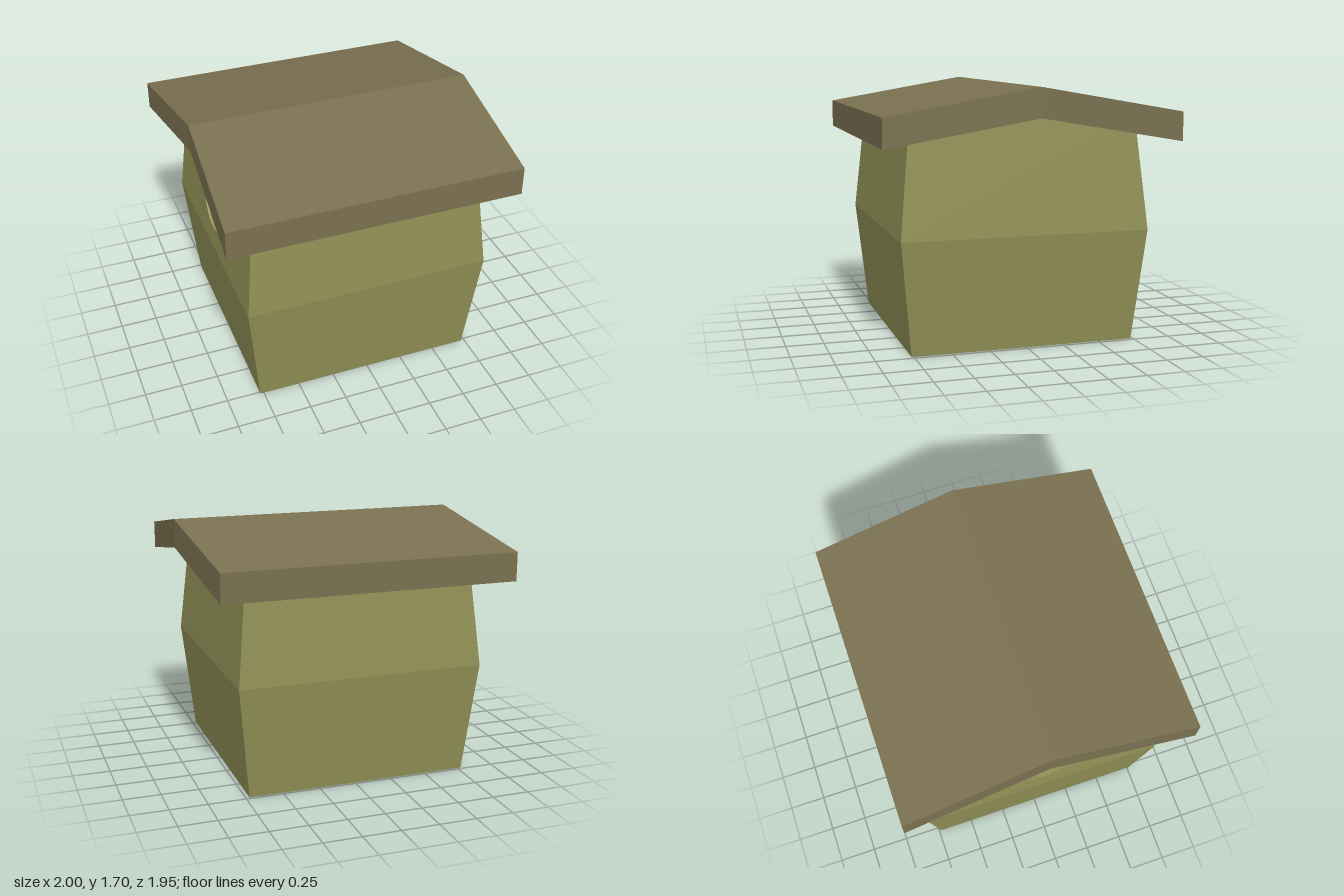
import * as THREE from 'three';

const bodyMat = new THREE.MeshStandardMaterial({ color: 0x8f8f55, flatShading: true });
const pocketMat = new THREE.MeshStandardMaterial({ color: 0x8f8f55, flatShading: true, side: THREE.BackSide });
const roofMat = new THREE.MeshStandardMaterial({ color: 0x7a7050, flatShading: true });

// Solid through four-cornered sections (counter-clockwise seen from the last one);
// skip(i, k) leaves a side panel open.
function loft(loops, skip = () => false) {
  const pos = [];
  const quad = (a, b, c, d) => pos.push(...a, ...b, ...c, ...a, ...c, ...d);
  for (let i = 0; i < loops.length - 1; i++) {
    const A = loops[i], B = loops[i + 1];
    for (let k = 0; k < 4; k++) {
      const n = (k + 1) % 4;
      if (!skip(i, k)) quad(A[k], A[n], B[n], B[k]);
    }
  }
  quad(...[...loops[0]].reverse());
  quad(...loops[loops.length - 1]);
  const geo = new THREE.BufferGeometry();
  geo.setAttribute('position', new THREE.Float32BufferAttribute(pos, 3));
  geo.computeVertexNormals();
  return geo;
}

// Moves every vertex to the x given by a rule
function setX(geo, rule) {
  const p = geo.attributes.position;
  for (let i = 0; i < p.count; i++) p.setX(i, rule(p.getX(i), p.getY(i), p.getZ(i)));
  geo.computeVertexNormals();
  return geo;
}

export function createModel() {
  const group = new THREE.Group();
  const add = (name, geo, mat) => {
    const mesh = new THREE.Mesh(geo, mat);
    mesh.name = name;
    group.add(mesh);
  };

  // Body: square box bulging at mid height
  const cx = -0.025, cz = 0.015, midY = 0.75, topY = 1.5, wide = 0.825, narrow = 0.75;
  const section = (y, h) => [
    [cx - h, y, cz + h], [cx + h, y, cz + h], [cx + h, y, cz - h], [cx - h, y, cz - h],
  ];
  add('body', loft(
    [section(0, narrow), section(midY, wide), section(topY, narrow)],
    (i, k) => i === 1 && k === 3,
  ), bodyMat);

  // Upper side wall with the round entrance
  const holeY = 1.125, r = 0.235, sides = 32, pocketX = -0.56;
  const wallX = (y) => cx - wide + (wide - narrow) * (y - midY) / (topY - midY);
  const wall = new THREE.Shape([
    [cz - wide, midY], [cz + wide, midY], [cz + narrow, topY], [cz - narrow, topY],
  ].map(([z, y]) => new THREE.Vector2(z, y)));
  wall.holes.push(new THREE.Path().absarc(cz, holeY, r, 0, Math.PI * 2, true));
  const wallGeo = new THREE.ShapeGeometry(wall, sides / 2).rotateY(-Math.PI / 2);
  add('entranceWall', setX(wallGeo, (x, y) => wallX(y)), bodyMat);

  // Blind pocket behind the entrance
  const tube = new THREE.CylinderGeometry(r, r, 1, sides, 1, true)
    .rotateZ(Math.PI / 2).translate(0, holeY, cz);
  add('entrancePocket', setX(tube, (x, y) => (x < 0 ? wallX(y) : pocketX)), pocketMat);
  add('entranceBack', new THREE.CircleGeometry(r, sides)
    .rotateY(-Math.PI / 2).translate(pocketX, holeY, cz), bodyMat);

  // Roof: folded slab whose ridge is shifted sideways from the eaves
  const roofSection = (z, x0, x1, y0, y1) => [[x0, y0, z], [x1, y0, z], [x1, y1, z], [x0, y1, z]];
  add('roof', loft([
    roofSection(-0.975, -1, 0.945, 1.34, 1.53),
    roofSection(0, -0.945, 1, 1.51, 1.7),
    roofSection(0.975, -1, 0.945, 1.34, 1.53),
  ]), roofMat);

  return group;
}
